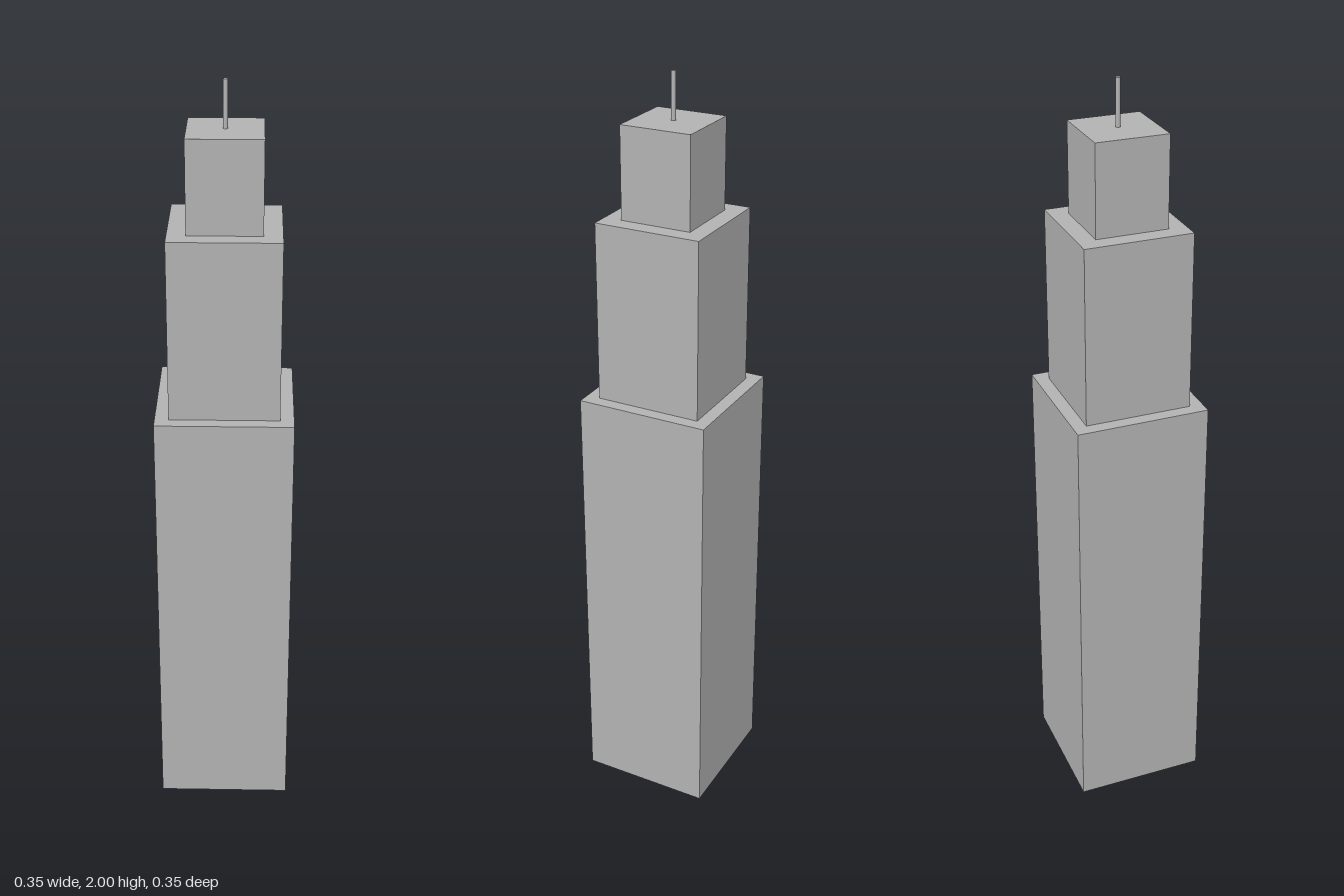
import * as THREE from 'three';

export function createModel() {
  const model = new THREE.Group();
  model.name = 'steppedTower';
  const concrete = new THREE.MeshStandardMaterial({ color: 0xb2b2b2 });
  concrete.name = 'concrete grey';

  let y = 0;
  // Stacks a part on top of the previous one
  const stack = (name, geometry, height) => {
    const mesh = new THREE.Mesh(geometry, concrete);
    mesh.name = name;
    mesh.position.y = y + height / 2;
    model.add(mesh);
    y += height;
  };

  // Square tiers, each narrower than the one below: name, width, height
  const tiers = [
    ['lowerTier', 0.353, 1.177],
    ['middleTier', 0.282, 0.47],
    ['upperTier', 0.188, 0.235],
  ];
  for (const [name, width, height] of tiers) {
    stack(name, new THREE.BoxGeometry(width, height, width), height);
  }

  // Thin round mast up to the full height
  const mastHeight = 2 - y;
  stack('mast', new THREE.CylinderGeometry(0.006, 0.006, mastHeight, 32), mastHeight);

  return model;
}
